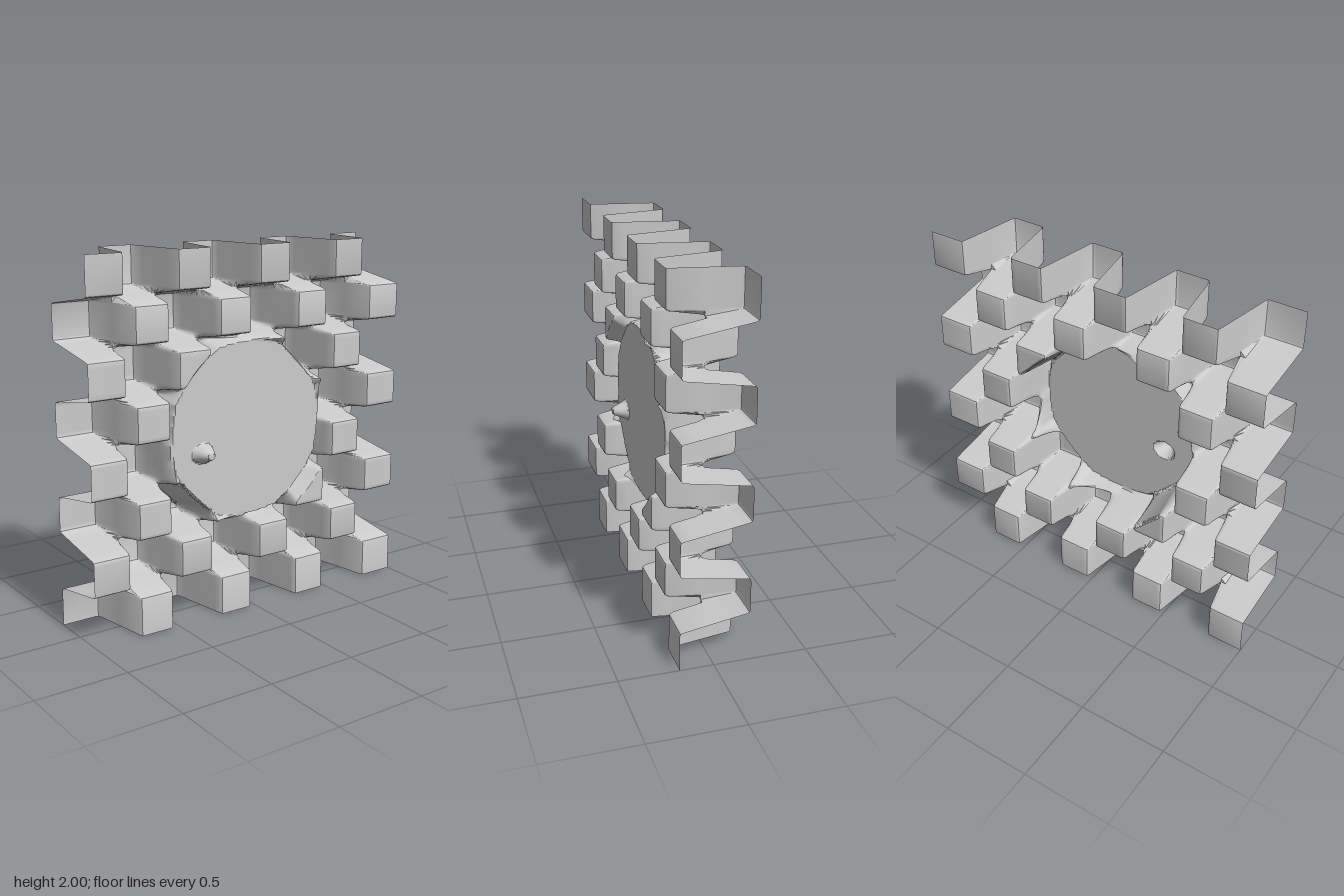
import * as THREE from 'three';
import { toCreasedNormals } from 'three/addons/utils/BufferGeometryUtils.js';

const PITCH = 0.2538;    // spacing of the checker walls
const CX = 0.003, CY = 1.003;
const DISC_Z = 0.105;    // level of the flat centre
const clamp01 = (t) => Math.min(1, Math.max(0, t));

// Wall profile: steep straight flank, small rounded shoulder, then flat.
const PROFILE = [[0, 0], [0.028, 0.92], [0.034, 0.98], [0.044, 1]];

// Alternates between -1 and +1 from cell to cell, crossing 0 at each wall.
function wave(t) {
  const k = Math.round(Math.max(-3, Math.min(3, t / PITCH)));
  const off = t - k * PITCH;
  const a = Math.abs(off);
  let s = 1;
  for (let i = 1; i < PROFILE.length; i++) {
    const [x0, y0] = PROFILE[i - 1], [x1, y1] = PROFILE[i];
    if (a < x1) { s = y0 + (y1 - y0) * (a - x0) / (x1 - x0); break; }
  }
  return s * Math.sign(off) * (k % 2 ? -1 : 1);
}

// Grid lines: exact on the wall breakpoints, fine across the central disc.
function gridLines(centre) {
  const lines = [-1, 1];
  for (let k = -3; k <= 3; k++) {
    for (const [d] of PROFILE) {
      lines.push(centre + k * PITCH + d);
      if (d) lines.push(centre + k * PITCH - d);
    }
  }
  for (let v = -0.57; v <= 0.57; v += 0.01) {
    if (lines.every((l) => Math.abs(l - v) > 0.004)) lines.push(v);
  }
  return lines.sort((a, b) => a - b);
}

function height(x, y) {
  const u = x - CX, v = y - CY;
  const checker = -0.004 - 0.184 * wave(u) * wave(v);

  // central disc, between a circle and an octagon in outline
  const au = Math.abs(u), av = Math.abs(v);
  const octagon = Math.max(au, av, (au + av) * Math.SQRT1_2);
  const d = 0.5 * (Math.hypot(u, v) + octagon);
  const blend = clamp01((d - 0.482) / 0.045);

  // small hollow knob pushed forward out of the disc
  const rho = Math.hypot((x + 0.29) / 0.068, (y - 0.907) / 0.055);
  const disc = DISC_Z + 0.083 * clamp01(1.6 * (1 - rho));

  return disc + (checker - disc) * blend;
}

export function createModel() {
  const group = new THREE.Group();
  group.name = 'checkerPanel';

  // folded checker sheet with the flat disc in its middle
  const xs = gridLines(CX);
  const ys = gridLines(CY - 1).map((v) => v + 1).reverse();
  const geo = new THREE.PlaneGeometry(2, 2, xs.length - 1, ys.length - 1);
  const pos = geo.attributes.position;
  for (let i = 0; i < pos.count; i++) {
    const x = xs[i % xs.length], y = ys[Math.floor(i / xs.length)];
    pos.setXYZ(i, x, y, height(x, y));
  }
  const sheet = new THREE.Mesh(
    toCreasedNormals(geo, 0.6),
    new THREE.MeshStandardMaterial({ color: 0xcccccc, side: THREE.DoubleSide })
  );
  sheet.name = 'foldedSheet';
  group.add(sheet);
  return group;
}
